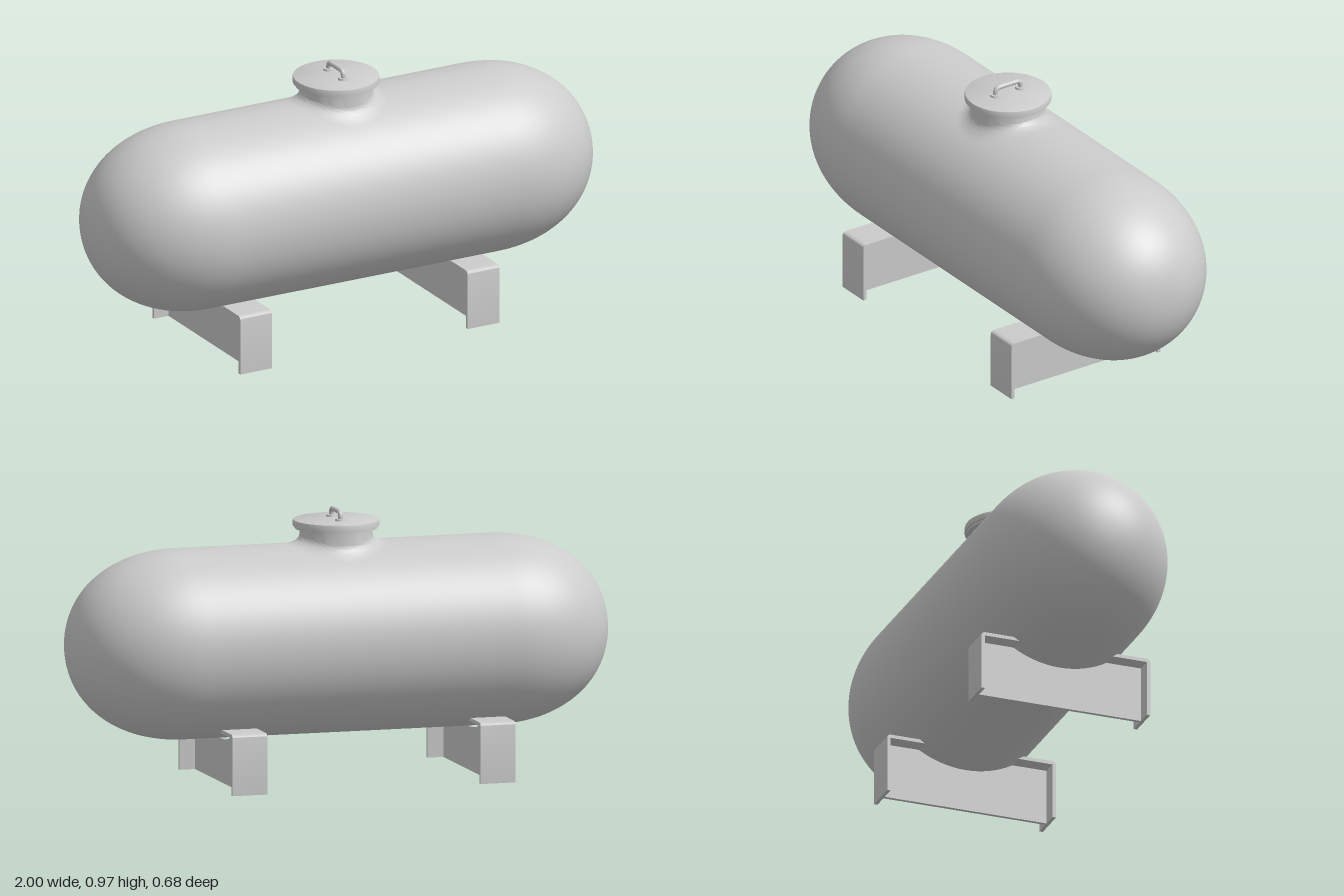
import * as THREE from 'three';
import { toCreasedNormals } from 'three/addons/utils/BufferGeometryUtils.js';

const material = new THREE.MeshStandardMaterial({ color: 0xcccccc });
const doubleSided = new THREE.MeshStandardMaterial({ color: 0xcccccc, side: THREE.DoubleSide });

const AXIS_Y = 0.507;   // height of the tank axis
const RADIUS = 0.342;
const TOP_Y = 0.22;     // top of the supports
const PLATE = 0.013;

function addMesh(parent, name, geometry, mat = material) {
  const mesh = new THREE.Mesh(geometry, mat);
  mesh.name = name;
  parent.add(mesh);
  return mesh;
}

function lathe(points, segments = 64) {
  const geometry = new THREE.LatheGeometry(points.map(([r, y]) => new THREE.Vector2(r, y)), segments);
  return toCreasedNormals(geometry, 0.6);
}

// Long barrel with softly blended domed ends
function tankGeometry() {
  const dome = 0.42, power = 2.15, steps = 32, profile = [];
  for (let i = 0; i <= steps; i++) {
    const a = (i / steps) * Math.PI / 2;
    profile.push(new THREE.Vector2(
      RADIUS * Math.pow(Math.sin(a), 2 / power),
      -(1 - dome) - dome * Math.pow(Math.max(0, Math.cos(a)), 2 / power)));
  }
  profile[0].x = 0;
  profile[steps].y = -(1 - dome);
  const upper = profile.map((p) => new THREE.Vector2(p.x, -p.y)).reverse();
  return new THREE.LatheGeometry([...profile, ...upper], 96).rotateZ(-Math.PI / 2);
}

// Neck whose filleted foot follows the curved top of the barrel
function neckGeometry() {
  const r = 0.131, fillet = 0.05, steps = 10;
  const points = [];
  for (let i = 0; i <= steps; i++) {
    const a = (i / steps) * Math.PI / 2;
    points.push(new THREE.Vector2(r + fillet * (1 - Math.sin(a)), fillet * 0.6 * (1 - Math.cos(a))));
  }
  points.push(new THREE.Vector2(r, 1));
  const geometry = new THREE.LatheGeometry(points, 72);
  const pos = geometry.attributes.position;
  for (let i = 0; i < pos.count; i++) {
    const h = pos.getY(i), z = pos.getZ(i);
    pos.setY(i, h === 1 ? 0.902 : AXIS_Y + Math.sqrt(RADIUS * RADIUS - z * z) + h);
  }
  geometry.computeVertexNormals();
  return toCreasedNormals(geometry, 0.7);
}

// Extrudes a z-y outline along x, centred on x = 0
function plate(shape, width) {
  const geometry = new THREE.ExtrudeGeometry(shape, { depth: width, bevelEnabled: false, curveSegments: 24 });
  geometry.translate(0, 0, -width / 2).rotateY(-Math.PI / 2);
  return toCreasedNormals(geometry, 0.5);
}

function createSupport() {
  const support = new THREE.Group();
  const half = 0.323, width = 0.13, arcR = 0.349, corner = 0.016;
  const arcZ = (y) => Math.sqrt(arcR * arcR - (AXIS_Y - y) ** 2);

  // Upright web with a saddle cut-out
  const y = TOP_Y - PLATE / 2, z = arcZ(y), inner = half - PLATE / 2;
  const web = new THREE.Shape();
  web.moveTo(-inner, 0);
  web.lineTo(inner, 0);
  web.lineTo(inner, y);
  web.lineTo(z, y);
  const angle = Math.atan2(y - AXIS_Y, z);
  web.absarc(0, AXIS_Y, arcR, angle, -Math.PI - angle, true);
  web.lineTo(-inner, y);
  web.closePath();
  addMesh(support, 'saddleWeb', plate(web, PLATE));

  // Bent flange at each end, running in to the barrel
  for (const s of [1, -1]) {
    const flange = new THREE.Shape();
    flange.moveTo(s * half, 0);
    flange.lineTo(s * half, TOP_Y - corner);
    flange.quadraticCurveTo(s * half, TOP_Y, s * (half - corner), TOP_Y);
    flange.lineTo(s * arcZ(TOP_Y), TOP_Y);
    flange.lineTo(s * arcZ(TOP_Y - PLATE), TOP_Y - PLATE);
    flange.lineTo(s * (half - PLATE), TOP_Y - PLATE);
    flange.lineTo(s * (half - PLATE), 0);
    flange.closePath();
    addMesh(support, s > 0 ? 'frontFlange' : 'backFlange', plate(flange, width));
  }
  return support;
}

// Round grab bar with bent corners
function handleGeometry() {
  const z = 0.054, top = 0.963, bend = 0.02;
  const v = (py, pz) => new THREE.Vector3(0, py, pz);
  const path = new THREE.CurvePath();
  path.add(new THREE.LineCurve3(v(0.928, -z), v(top - bend, -z)));
  path.add(new THREE.QuadraticBezierCurve3(v(top - bend, -z), v(top, -z), v(top, -z + bend)));
  path.add(new THREE.LineCurve3(v(top, -z + bend), v(top, z - bend)));
  path.add(new THREE.QuadraticBezierCurve3(v(top, z - bend), v(top, z), v(top - bend, z)));
  path.add(new THREE.LineCurve3(v(top - bend, z), v(0.928, z)));
  return new THREE.TubeGeometry(path, 64, 0.009, 16);
}

export function createModel() {
  const model = new THREE.Group();
  model.name = 'storageTank';

  addMesh(model, 'tankBody', tankGeometry()).position.y = AXIS_Y;
  addMesh(model, 'manholeNeck', neckGeometry(), doubleSided);

  // Neck ring and lid
  addMesh(model, 'neckRing', lathe([[0.12, 0.899], [0.148, 0.899], [0.148, 0.909], [0.12, 0.909]]));
  addMesh(model, 'lid', lathe([
    [0, 0.908], [0.155, 0.908], [0.155, 0.926], [0.1535, 0.93], [0.149, 0.932], [0, 0.932],
  ]));

  // Lid handle on two small feet
  addMesh(model, 'lidHandle', handleGeometry());
  for (const z of [-0.054, 0.054]) {
    const foot = addMesh(model, 'handleFoot', new THREE.CylinderGeometry(0.018, 0.02, 0.008, 24));
    foot.position.set(0, 0.935, z);
  }

  // Two saddle supports
  for (const [name, x] of [['rightSupport', -0.505], ['leftSupport', 0.423]]) {
    const support = createSupport();
    support.name = name;
    support.position.x = x;
    model.add(support);
  }
  return model;
}
